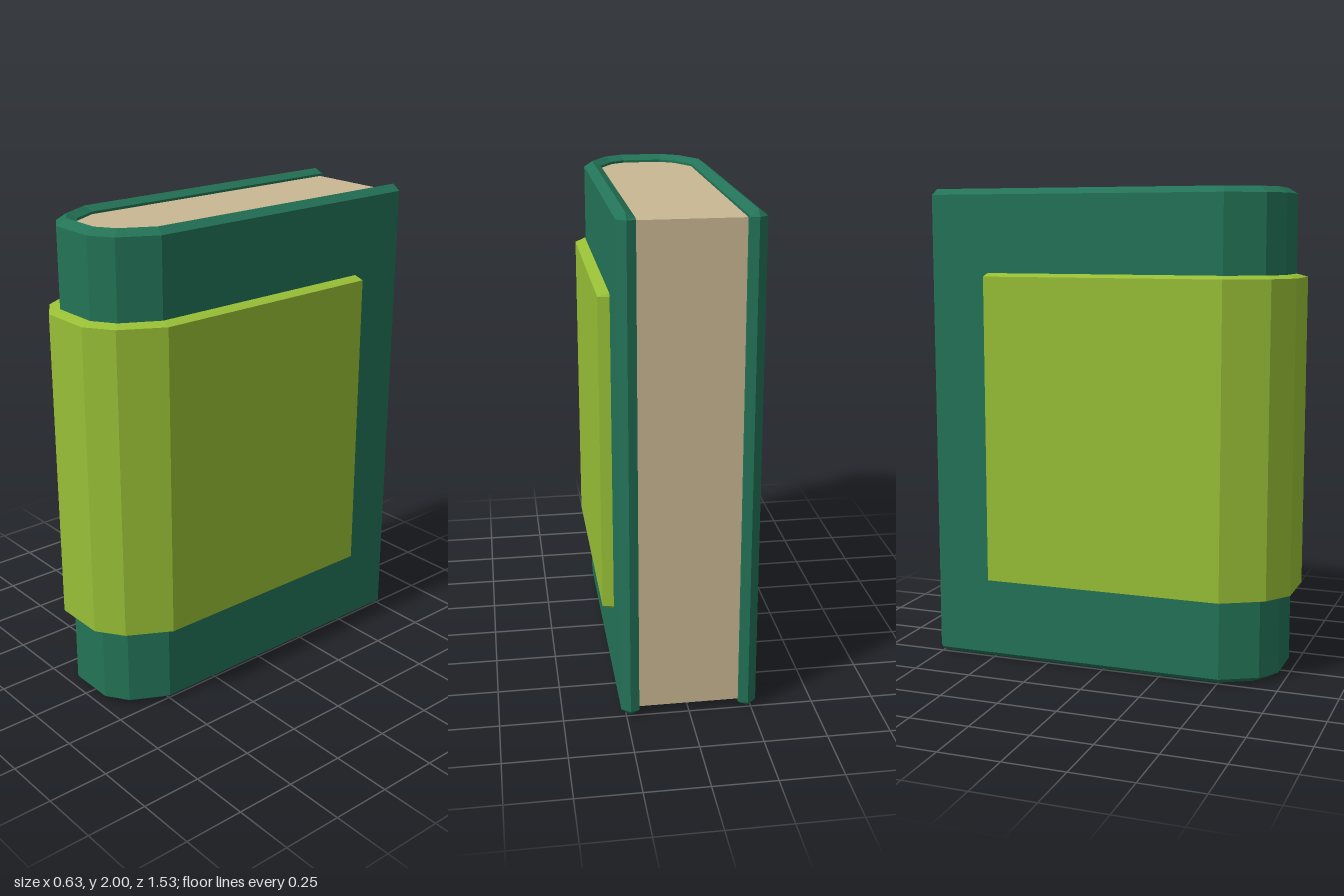
import * as THREE from 'three';

// Mirror a half outline (x, z) from the left side round the front to the right side
const mirrored = (half) => [...half, ...half.map(([x, z]) => [-x, z]).reverse()];

// Corners of the rounded front, from the side towards the middle
const INNER = [[0.2, 0.49], [0.14, 0.6], [0.08, 0.64]];
const COVER = [[0.27, 0.51], [0.19, 0.66], [0.1, 0.72]];
const BAND = [[0.315, 0.52], [0.22, 0.69], [0.11, 0.765]];

// U-shaped wall swept from three outlines: outer, middle and inner.
// ys: height of each outline's top edge; backs: z of each at the open back end.
function wrap(outer, inner, ys, backs, material, name) {
  const middle = outer.map(([x, z], i) => [(x + inner[i][0]) / 2, (z + inner[i][1]) / 2]);
  const low = Math.min(ys[0], ys[2]);
  const lanes = [outer, middle, inner].map((line, k) => mirrored([
    [line[0][0], backs[k]], [line[0][0], backs[0]], ...line]));
  const count = lanes[0].length;
  const ringAt = (i) => {
    const end = i === 0 || i === count - 1;
    const point = (k, top) => {
      const y = end ? Math.min(ys[k], low) : ys[k];
      const [x, z] = lanes[k][i];
      return [x, top ? y : 2 - y, z];
    };
    return [point(0, 0), point(0, 1), point(1, 1), point(2, 1), point(2, 0), point(1, 0)];
  };
  const rings = Array.from({ length: count }, (_, i) => ringAt(i));
  const pos = [];
  const quad = (a, b, c, d) => pos.push(...a, ...b, ...c, ...a, ...c, ...d);
  for (let i = 0; i < count - 1; i++) {
    for (let k = 0; k < 6; k++) {
      const n = (k + 1) % 6;
      quad(rings[i][k], rings[i][n], rings[i + 1][n], rings[i + 1][k]);
    }
  }
  // Ends of the two side boards
  const s = rings[0], e = rings[count - 1];
  quad(s[0], s[5], s[2], s[1]);
  quad(s[5], s[4], s[3], s[2]);
  quad(e[0], e[1], e[2], e[5]);
  quad(e[5], e[2], e[3], e[4]);
  const geometry = new THREE.BufferGeometry();
  geometry.setAttribute('position', new THREE.Float32BufferAttribute(pos, 3));
  geometry.computeVertexNormals();
  const mesh = new THREE.Mesh(geometry, material);
  mesh.name = name;
  return mesh;
}

export function createModel() {
  const material = (name, color) => {
    const m = new THREE.MeshStandardMaterial({ color });
    m.name = name;
    return m;
  };
  const green = material('dark green cover', 0x237357);
  const lime = material('lime band', 0x98bf36);
  const paper = material('tan paper', 0xcab892);

  const book = new THREE.Group();
  book.name = 'book';

  // Cover with bevelled rims, and the band wrapped round its spine
  book.add(wrap(COVER, INNER, [1.975, 2, 1.98], [-0.74, -0.765, -0.755], green, 'cover'));
  book.add(wrap(BAND, COVER, [1.642, 1.649, 1.655], [-0.495, -0.5, -0.505], lime, 'band'));

  // Block of pages filling the cover
  const outline = mirrored([[0.2, -0.735], ...INNER]).map(([x, z]) => new THREE.Vector2(x, z));
  const block = new THREE.ExtrudeGeometry(new THREE.Shape(outline), { depth: 1.94, bevelEnabled: false });
  block.rotateX(Math.PI / 2).translate(0, 1.97, 0);
  const pages = new THREE.Mesh(block, paper);
  pages.name = 'pages';
  book.add(pages);

  return book;
}
